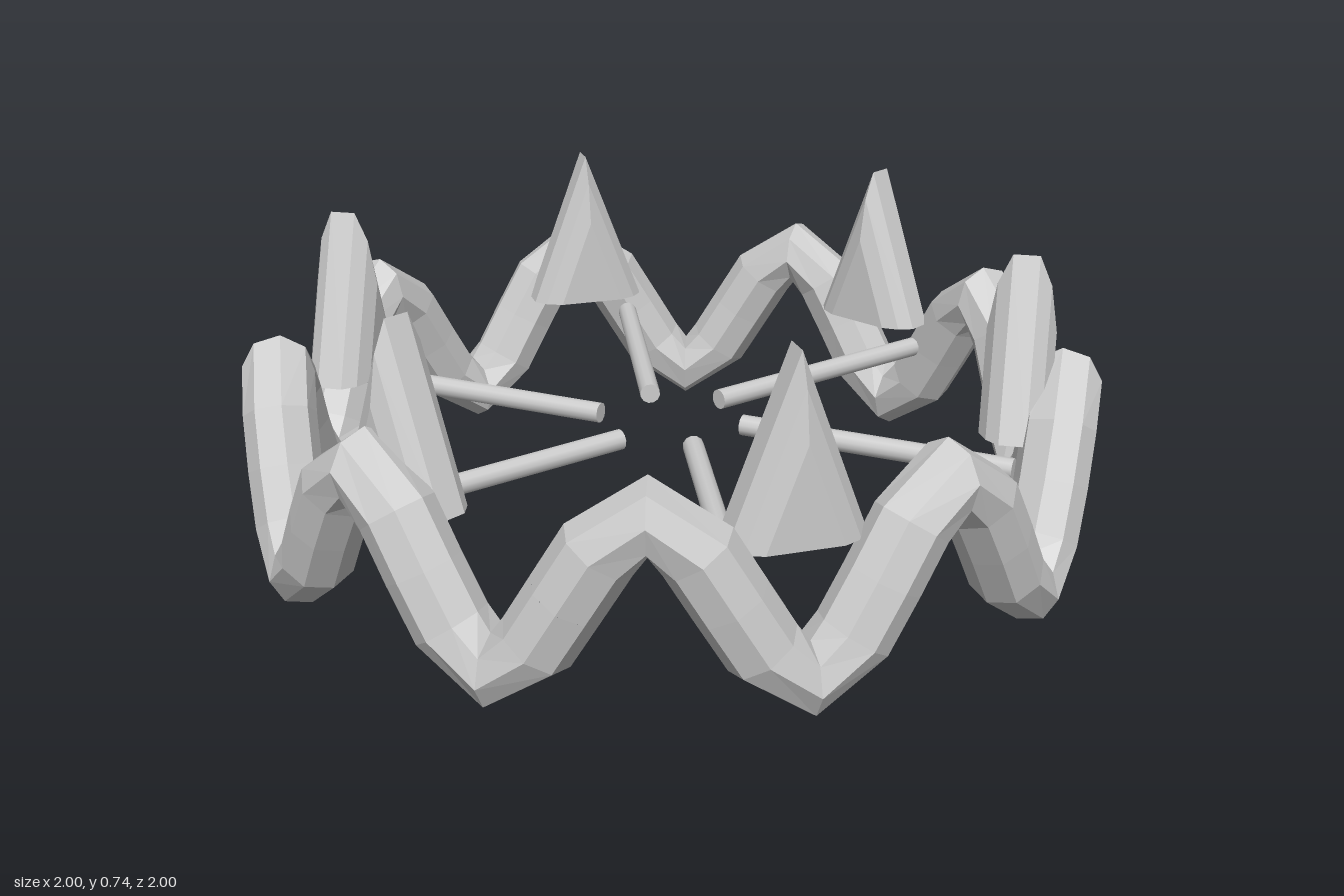
import * as THREE from 'three';

const RING = 0.917, WAVE = 0.183, THICK = 0.083, MID = 0.268;

// Ring path that rises and falls nine times per turn
class WavyRing extends THREE.Curve {
  getPoint(t, target = new THREE.Vector3()) {
    const a = t * Math.PI * 2;
    return target.set(Math.sin(a) * RING, MID + WAVE * Math.sin(9 * a), Math.cos(a) * RING);
  }
}

// Pointed tooth: similar triangles stacked along the radial x axis, all on one base plane
function toothGeometry() {
  const halfWidth = 0.15, height = 0.4;
  const layers = [[-0.078, 0.56], [-0.06, 0.83], [-0.03, 1], [0.03, 1], [0.06, 0.83], [0.078, 0.56]];
  const pos = [], idx = [];
  for (const [x, s] of layers) {
    pos.push(x, 0, halfWidth * s, x, 0, -halfWidth * s, x, height * s, 0);
  }
  for (let i = 0; i < layers.length - 1; i++) {
    for (let k = 0; k < 3; k++) {
      const a = i * 3 + k, b = i * 3 + (k + 1) % 3;
      idx.push(a, b, b + 3, a, b + 3, a + 3);
    }
  }
  const e = (layers.length - 1) * 3;
  idx.push(0, 2, 1, e, e + 1, e + 2);
  const g = new THREE.BufferGeometry();
  g.setAttribute('position', new THREE.Float32BufferAttribute(pos, 3));
  g.setIndex(idx);
  const flat = g.toNonIndexed();
  flat.computeVertexNormals();
  return flat;
}

export function createModel() {
  const model = new THREE.Group();
  const faceted = new THREE.MeshStandardMaterial({ color: 0xcccccc, flatShading: true });
  const toothMaterial = new THREE.MeshStandardMaterial({ color: 0xcccccc, flatShading: true, side: THREE.DoubleSide });
  const smooth = new THREE.MeshStandardMaterial({ color: 0xcccccc });

  const ring = new THREE.Mesh(new THREE.TubeGeometry(new WavyRing(), 72, THICK, 8, false), faceted);
  ring.name = 'wavyRing';
  model.add(ring);

  // Six teeth inside the ring, each with a slanted spoke below it
  const tooth = toothGeometry();
  const from = new THREE.Vector3(0.175, 0.28, 0), to = new THREE.Vector3(0.82, 0.28, 0.125);
  const rod = new THREE.CylinderGeometry(0.025, 0.025, from.distanceTo(to), 12);
  const along = to.clone().sub(from).normalize();
  for (let i = 0; i < 6; i++) {
    const sector = new THREE.Group();
    sector.name = 'sector' + (i + 1);
    sector.rotation.y = i * Math.PI / 3;

    const spike = new THREE.Mesh(tooth, toothMaterial);
    spike.name = 'tooth';
    spike.position.set(0.813, 0.345, 0);

    const spoke = new THREE.Mesh(rod, smooth);
    spoke.name = 'spoke';
    spoke.position.lerpVectors(from, to, 0.5);
    spoke.quaternion.setFromUnitVectors(new THREE.Vector3(0, 1, 0), along);

    sector.add(spike, spoke);
    model.add(sector);
  }
  return model;
}
